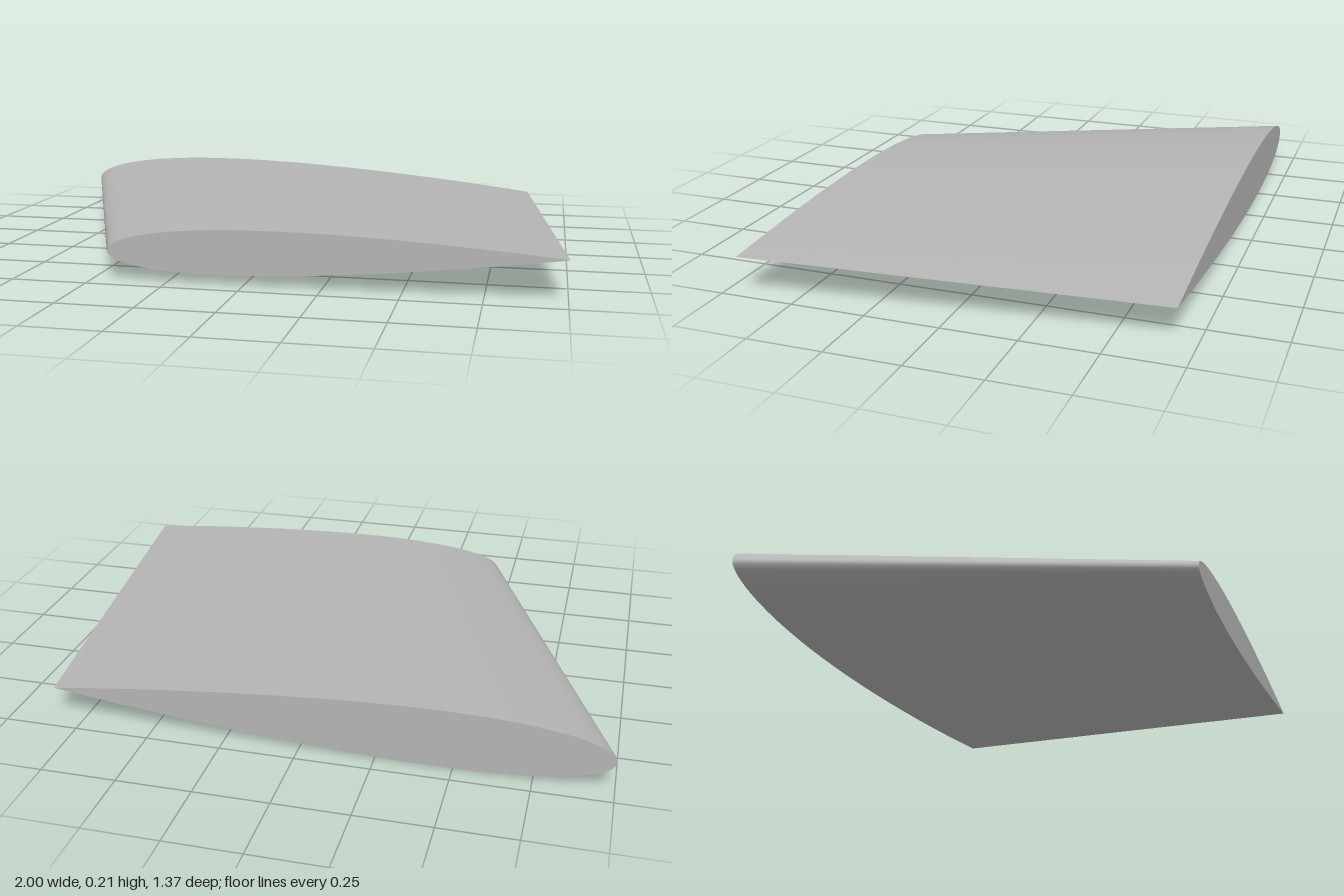
import * as THREE from 'three';

const HALF = 32; // steps along each of the upper and lower surfaces

// Wing sections: nose and tail points, thickness ratio, span position
const root = { x0: -1, x1: 0.85, y0: 0.102, y1: 0.105, t: 0.111, z: -0.685 };
const tip = { x0: -0.45, x1: 1, y0: 0.095, y1: 0.133, t: 0.101, z: 0.685 };

// Half thickness of a symmetric aerofoil with a closed tail
function halfThickness(u, t) {
  return 5 * t * (0.2969 * Math.sqrt(u) - 0.126 * u - 0.3516 * u ** 2 + 0.2843 * u ** 3 - 0.1036 * u ** 4);
}

// Closed outline: tail, upper surface, nose, lower surface, tail
function section(s) {
  const points = [];
  for (let i = 0; i <= 2 * HALF; i++) {
    const u = (1 + Math.cos((Math.PI * i) / HALF)) / 2;
    const side = i <= HALF ? 1 : -1;
    const h = Math.max(0, halfThickness(u, s.t)) * (s.x1 - s.x0);
    points.push(new THREE.Vector3(
      s.x0 + u * (s.x1 - s.x0),
      Math.max(0, s.y0 + u * (s.y1 - s.y0) + side * h),
      s.z
    ));
  }
  return points;
}

function build(points, index) {
  const geometry = new THREE.BufferGeometry().setFromPoints(points);
  geometry.setIndex(index);
  geometry.computeVertexNormals();
  return geometry;
}

// Smooth skin joining the two sections
function skinGeometry(a, b) {
  const n = a.length, index = [];
  for (let i = 0; i < n - 1; i++) {
    index.push(i, i + 1, n + i, i + 1, n + i + 1, n + i);
  }
  return build([...a, ...b], index);
}

// Flat end, filled between the upper and lower outlines
function capGeometry(outline, facesFront) {
  const last = outline.length - 1, index = [];
  const add = (p, q, r) => index.push(...(facesFront ? [p, q, r] : [p, r, q]));
  for (let i = 0; i < HALF; i++) {
    if (i > 0) add(i, i + 1, last - i);
    if (i < HALF - 1) add(i + 1, last - i - 1, last - i);
  }
  return build(outline, index);
}

export function createModel() {
  const group = new THREE.Group();
  group.name = 'wingSection';
  const grey = new THREE.MeshStandardMaterial({ color: 0xb4b4b4 });
  grey.name = 'grey';

  const rootOutline = section(root);
  const tipOutline = section(tip);
  const parts = {
    wingSkin: skinGeometry(rootOutline, tipOutline),
    rootCap: capGeometry(rootOutline, false),
    tipCap: capGeometry(tipOutline, true),
  };
  for (const [name, geometry] of Object.entries(parts)) {
    const mesh = new THREE.Mesh(geometry, grey);
    mesh.name = name;
    group.add(mesh);
  }
  return group;
}
